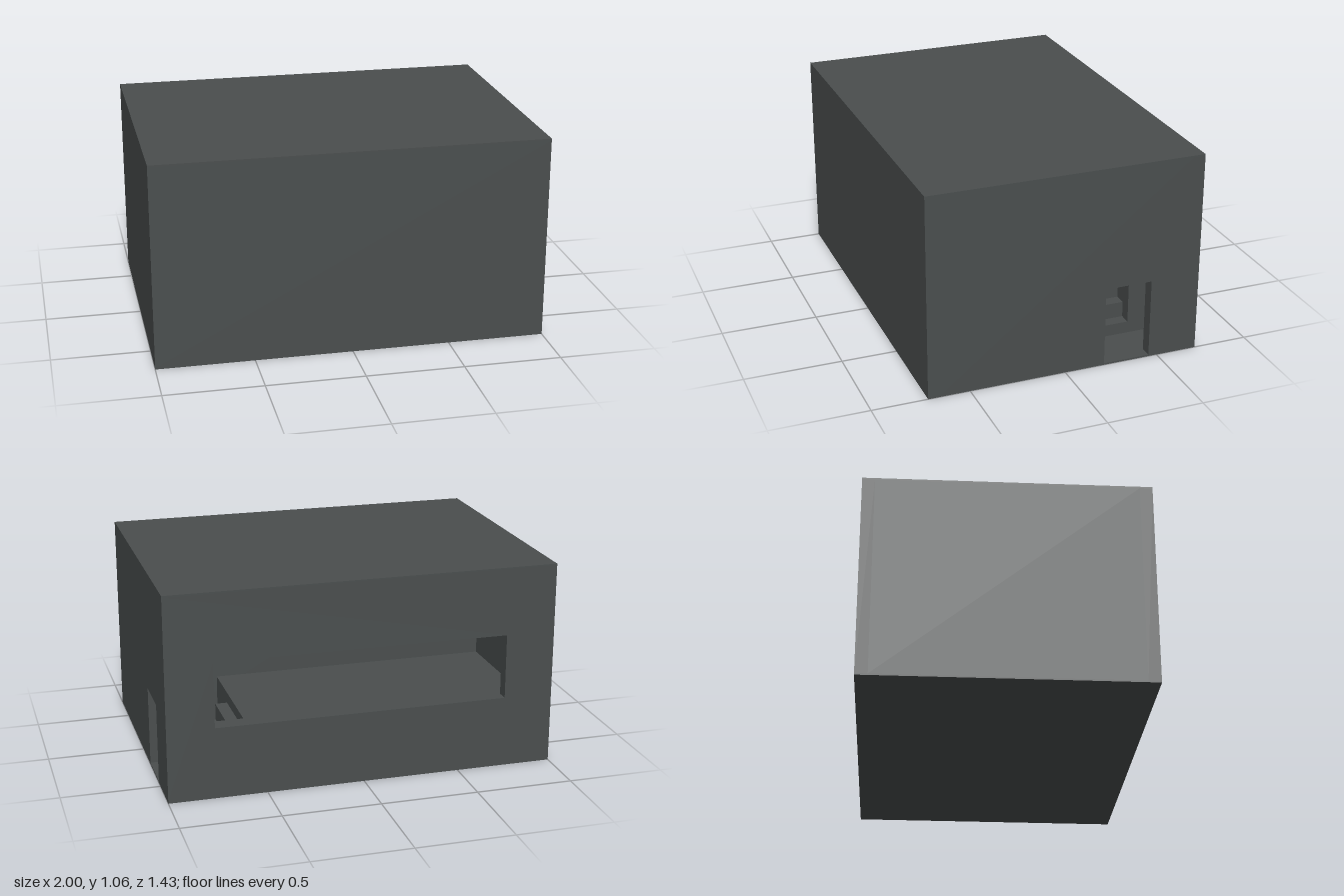
import * as THREE from 'three';

const W = 2, H = 1.06, D = 1.43, T = 0.063, SLAB = 0.008;

export function createModel() {
  const model = new THREE.Group();
  const concrete = new THREE.MeshStandardMaterial({ color: 0x4a4e4e });
  concrete.name = 'dark grey concrete';

  const add = (name, geometry) => {
    const mesh = new THREE.Mesh(geometry, concrete);
    mesh.name = name;
    model.add(mesh);
    return mesh;
  };
  // Box given by its lowest and highest corners
  const block = (name, x0, x1, y0, y1, z0, z1) =>
    add(name, new THREE.BoxGeometry(x1 - x0, y1 - y0, z1 - z0))
      .position.set((x0 + x1) / 2, (y0 + y1) / 2, (z0 + z1) / 2);
  // Outline from corner points
  const outline = (points, Type = THREE.Shape) =>
    new Type(points.map(([x, y]) => new THREE.Vector2(x, y)));
  const wall = (shape) =>
    new THREE.ExtrudeGeometry(shape, { depth: T, bevelEnabled: false });

  const x = W / 2, z = D / 2, top = H - SLAB;

  // Thin floor and roof, plain front and right walls
  block('floor', -x, x, 0, SLAB, -z, z);
  block('roof', -x, x, top, H, -z, z);
  block('frontWall', -x, x, SLAB, top, z - T, z);
  block('rightWall', -x, -x + T, SLAB, top, -z + T, z - T);

  // Back wall with the long window opening
  const back = outline([[-x, SLAB], [x, SLAB], [x, top], [-x, top]]);
  back.holes.push(outline(
    [[-0.745, 0.37], [-0.745, 0.706], [0.76, 0.706], [0.76, 0.37]], THREE.Path));
  add('backWall', wall(back)).position.z = -z;

  // Left wall with the doorway; the outline is drawn along -z
  const left = outline([
    [-z + T, SLAB], [0.21, SLAB], [0.21, 0.42], [0.455, 0.42],
    [0.455, SLAB], [z - T, SLAB], [z - T, top], [-z + T, top],
  ]);
  const leftWall = add('leftWall', wall(left));
  leftWall.rotation.y = Math.PI / 2;
  leftWall.position.x = x - T;

  // Inner room: partition, raised floor and ledge below the window
  const front = 0.18, inner = x - T;
  block('partitionWall', -inner, inner, SLAB, top, front, front + T);
  block('raisedFloor', -inner, 0.56, SLAB, 0.3, -0.455, front);
  block('windowLedge', -inner, 0.75, SLAB, 0.3, -z + T, -0.455);

  // Steps from the doorway up to the raised floor
  [0.071, 0.154, 0.242].forEach((height, i) => {
    const start = 0.75 - i * 0.0633;
    block('step' + (i + 1), start - 0.0633, start, SLAB, height, -0.455, -0.07);
  });

  return model;
}
